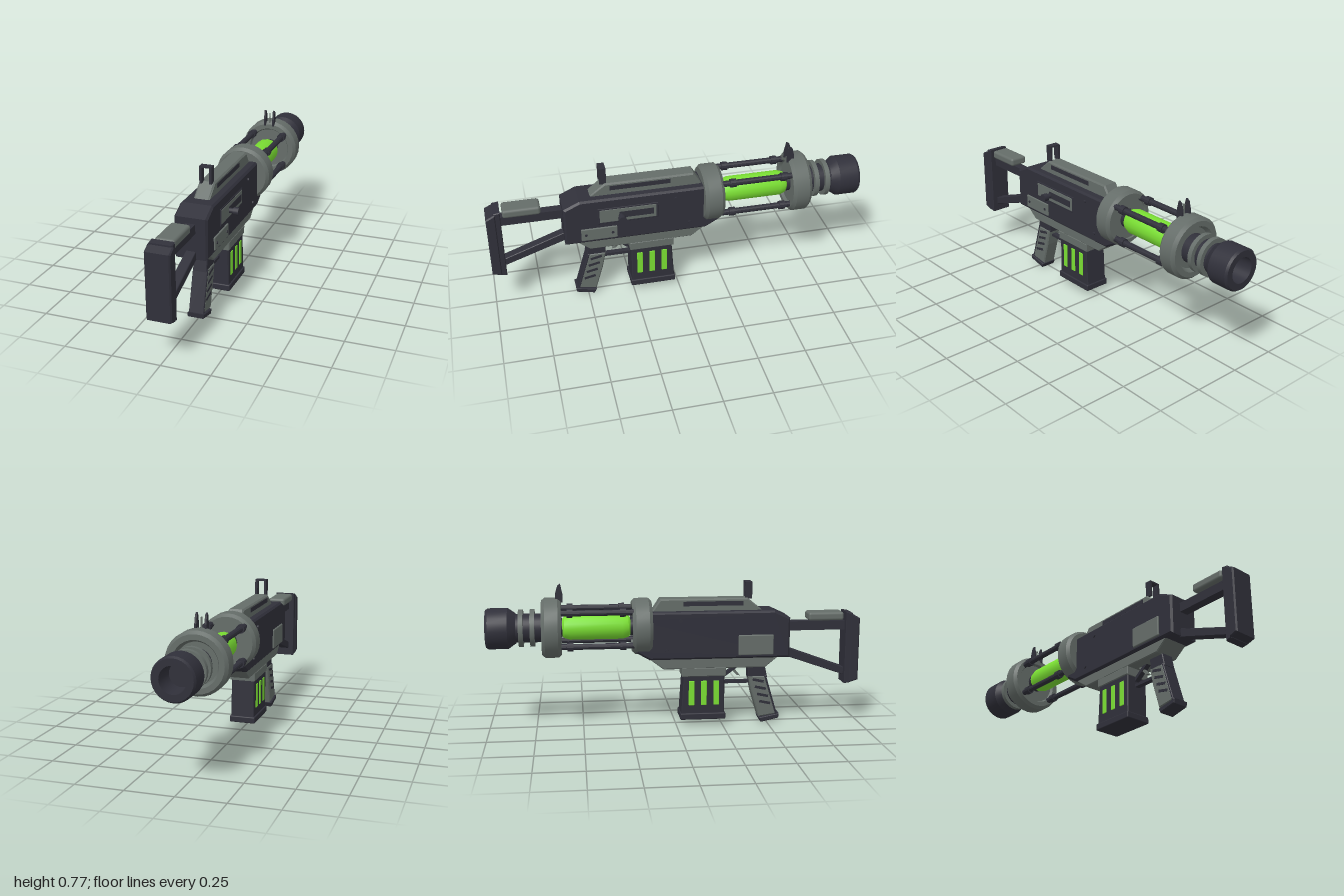
import * as THREE from 'three';
import { toCreasedNormals } from 'three/addons/utils/BufferGeometryUtils.js';
import { RoundedBoxGeometry } from 'three/addons/geometries/RoundedBoxGeometry.js';

const AXIS = 0.543; // height of the barrel axis

export function createModel() {
  const model = new THREE.Group();
  const material = (name, color) => {
    const m = new THREE.MeshStandardMaterial({ color });
    m.name = name;
    return m;
  };
  const dark = material('dark gunmetal', 0x30303a);
  const gray = material('gray metal', 0x656d69);
  const green = material('glowing green', 0x7be033);

  const add = (name, geometry, mat, x = 0, y = 0, z = 0) => {
    const mesh = new THREE.Mesh(geometry, mat);
    mesh.name = name;
    mesh.position.set(x, y, z);
    model.add(mesh);
    return mesh;
  };
  const box = (name, mat, w, h, d, x, y, z) => add(name, new THREE.BoxGeometry(w, h, d), mat, x, y, z);
  const rounded = (name, mat, w, h, d, r, x, y, z) => add(name, new RoundedBoxGeometry(w, h, d, 2, r), mat, x, y, z);

  // Side profile of [z, y] points, extruded across x with a chamfer
  const slab = (name, mat, points, half, bevel = 0.006, x = 0) => {
    const shape = new THREE.Shape(points.map(([z, y]) => new THREE.Vector2(z, y)));
    const g = new THREE.ExtrudeGeometry(shape, {
      depth: 2 * (half - bevel), bevelEnabled: bevel > 0, bevelSize: bevel,
      bevelThickness: bevel, bevelOffset: -bevel, bevelSegments: 1,
    });
    g.translate(0, 0, bevel - half).rotateY(-Math.PI / 2);
    return add(name, g, mat, x);
  };
  // [radius, z] profile turned around the z axis
  const turned = (name, mat, points, x = 0, y = AXIS, sides = 28) => {
    const g = new THREE.LatheGeometry(points.map(([r, z]) => new THREE.Vector2(r, z)), sides);
    return add(name, toCreasedNormals(g.rotateX(Math.PI / 2), 0.5), mat, x, y);
  };
  const drum = (name, mat, r, z0, z1, x, y, sides) =>
    turned(name, mat, [[0, z0], [r, z0], [r, z1], [0, z1]], x, y, sides);
  const sidePin = (name, mat, r, length, x, y, z) => {
    const g = new THREE.CylinderGeometry(r, r, length, 14).rotateZ(Math.PI / 2);
    return add(name, g, mat, x, y, z);
  };

  // Receiver
  slab('receiver', dark, [[0.61, 0.37], [0.61, 0.585], [0.525, 0.625], [-0.14, 0.625],
    [-0.215, 0.59], [-0.215, 0.41], [-0.145, 0.37]], 0.086, 0.01);
  slab('lowerReceiver', gray, [[0.55, 0.372], [0.48, 0.315], [-0.07, 0.315], [-0.145, 0.372]], 0.07, 0.005);
  slab('topCover', gray, [[0.47, 0.62], [0.385, 0.69], [-0.085, 0.69], [-0.13, 0.62]], 0.042, 0.008);
  for (const s of [-1, 1]) {
    box('coverSlot', dark, 0.006, 0.024, 0.32, s * 0.0415, 0.663, 0.2);
    for (const [y, z] of [[0.58, 0.02], [0.42, -0.055]]) sidePin('receiverPin', dark, 0.009, 0.012, s * 0.088, y, z);
  }

  // Ejection port with charging handle
  rounded('portFrame', dark, 0.008, 0.092, 0.32, 0.003, 0.085, 0.525, 0.275);
  rounded('portPlate', gray, 0.008, 0.076, 0.3, 0.003, 0.087, 0.525, 0.275);
  box('portSlot', dark, 0.004, 0.036, 0.18, 0.0905, 0.525, 0.23);
  sidePin('handleStem', dark, 0.014, 0.05, 0.1, 0.52, 0.312);
  sidePin('handleKnob', dark, 0.021, 0.028, 0.128, 0.52, 0.312);

  // Side plates
  rounded('rightPlate', gray, 0.02, 0.07, 0.19, 0.004, 0.084, 0.424, 0.43);
  for (const z of [0.36, 0.5]) sidePin('plateScrew', dark, 0.007, 0.004, 0.095, 0.424, z);
  rounded('leftPlate', gray, 0.02, 0.11, 0.19, 0.006, -0.084, 0.443, 0.425);

  // Shoulder stock
  slab('buttPad', dark, [[1, 0.23], [1, 0.572], [0.95, 0.597], [0.95, 0.215]], 0.064, 0.007);
  slab('buttPlate', dark, [[0.96, 0.215], [0.96, 0.6], [0.925, 0.605], [0.925, 0.21]], 0.058, 0.004);
  box('stockTube', dark, 0.05, 0.05, 0.36, 0, 0.53, 0.765);
  slab('stockStrut', dark, [[0.935, 0.25], [0.935, 0.292], [0.59, 0.418], [0.59, 0.37]], 0.026, 0.003);
  rounded('cheekRest', gray, 0.1, 0.046, 0.195, 0.014, 0, 0.582, 0.817);

  // Pistol grip
  slab('gripNeck', dark, [[0.485, 0.32], [0.395, 0.32], [0.395, 0.25], [0.5, 0.25]], 0.036, 0.004);
  slab('grip', gray, [[0.487, 0.26], [0.395, 0.26], [0.415, 0.165], [0.455, 0.03], [0.552, 0.045]], 0.04, 0.006);
  slab('gripBackstrap', dark, [[0.493, 0.262], [0.481, 0.262], [0.545, 0.043], [0.557, 0.045]], 0.04, 0.003);
  slab('gripCap', dark, [[0.568, 0.047], [0.455, 0.025], [0.468, 0], [0.565, 0.022]], 0.045, 0.004);
  for (let i = 0; i < 4; i++) {
    const groove = box('gripGroove', dark, 0.084, 0.014, 0.062, 0, 0.235 - i * 0.041, 0.449 + i * 0.013);
    groove.rotation.x = 0.22;
  }

  // Trigger and guard
  box('triggerGuard', dark, 0.028, 0.016, 0.15, 0, 0.225, 0.335);
  slab('guardBrace', dark, [[0.355, 0.318], [0.325, 0.318], [0.255, 0.265], [0.255, 0.245]], 0.014, 0);
  slab('trigger', gray, [[0.305, 0.318], [0.285, 0.318], [0.335, 0.262], [0.355, 0.258]], 0.01, 0);

  // Magazine
  slab('magazineWell', gray, [[0.268, 0.32], [0.028, 0.32], [0.03, 0.272], [0.266, 0.272]], 0.071, 0.004);
  slab('magazine', dark, [[0.26, 0.29], [0.04, 0.29], [0.025, 0.06], [0.26, 0.06]], 0.065, 0.005);
  rounded('magazineBase', dark, 0.144, 0.036, 0.246, 0.006, 0, 0.051, 0.143);
  for (const s of [-1, 1]) {
    for (const z of [0.215, 0.148, 0.081]) rounded('magazineWindow', green, 0.008, 0.135, 0.031, 0.003, s * 0.0645, 0.18, z);
  }

  // Energy chamber between two rings
  turned('rearRing', gray, [[0, -0.222], [0.115, -0.222], [0.115, -0.235], [0.135, -0.235], [0.15, -0.218],
    [0.15, -0.147], [0.135, -0.13], [0, -0.13]]);
  turned('frontRing', gray, [[0, -0.685], [0.105, -0.685], [0.118, -0.71], [0.145, -0.71], [0.16, -0.693],
    [0.16, -0.624], [0.145, -0.607], [0.118, -0.607], [0.11, -0.622], [0, -0.622]]);
  turned('energyCell', green, [[0, -0.608], [0.04, -0.608], [0.058, -0.592], [0.068, -0.56],
    [0.068, -0.285], [0.058, -0.253], [0.04, -0.237], [0, -0.237]], 0, AXIS, 16);
  drum('rearSocket', dark, 0.05, -0.243, -0.2);
  drum('frontSocket', dark, 0.05, -0.64, -0.602);
  for (const sx of [-1, 1]) {
    for (const sy of [-1, 1]) {
      const x = sx * 0.089, y = AXIS + sy * 0.089;
      drum('cageRod', dark, 0.016, -0.63, -0.21, x, y, 12);
      for (const z of [-0.285, -0.562]) drum('rodCollar', dark, 0.023, z - 0.016, z + 0.016, x, y, 12);
    }
  }

  // Barrel neck, cooling fins and hollow muzzle
  drum('barrelNeck', dark, 0.076, -0.86, -0.67);
  for (const z of [-0.758, -0.818]) drum('coolingFin', gray, 0.099, z - 0.012, z + 0.012);
  turned('muzzle', dark, [[0, -0.89], [0.06, -0.89], [0.066, -1], [0.1, -1], [0.108, -0.988],
    [0.108, -0.885], [0.08, -0.845], [0, -0.845]]);

  // Rear sight: an open frame
  for (const s of [-1, 1]) box('rearSightPost', dark, 0.012, 0.09, 0.036, s * 0.026, 0.73, 0.392);
  box('rearSightBar', dark, 0.064, 0.008, 0.036, 0, 0.771, 0.392);

  // Front sight: two guard prongs around a thin post
  for (const s of [-1, 1]) {
    slab('frontSightProng', dark, [[-0.598, 0.68], [-0.598, 0.72], [-0.609, 0.772], [-0.624, 0.762],
      [-0.636, 0.72], [-0.636, 0.68]], 0.005, 0, s * 0.025);
  }
  box('frontSightPost', gray, 0.006, 0.08, 0.008, 0, 0.712, -0.618);

  return model;
}
